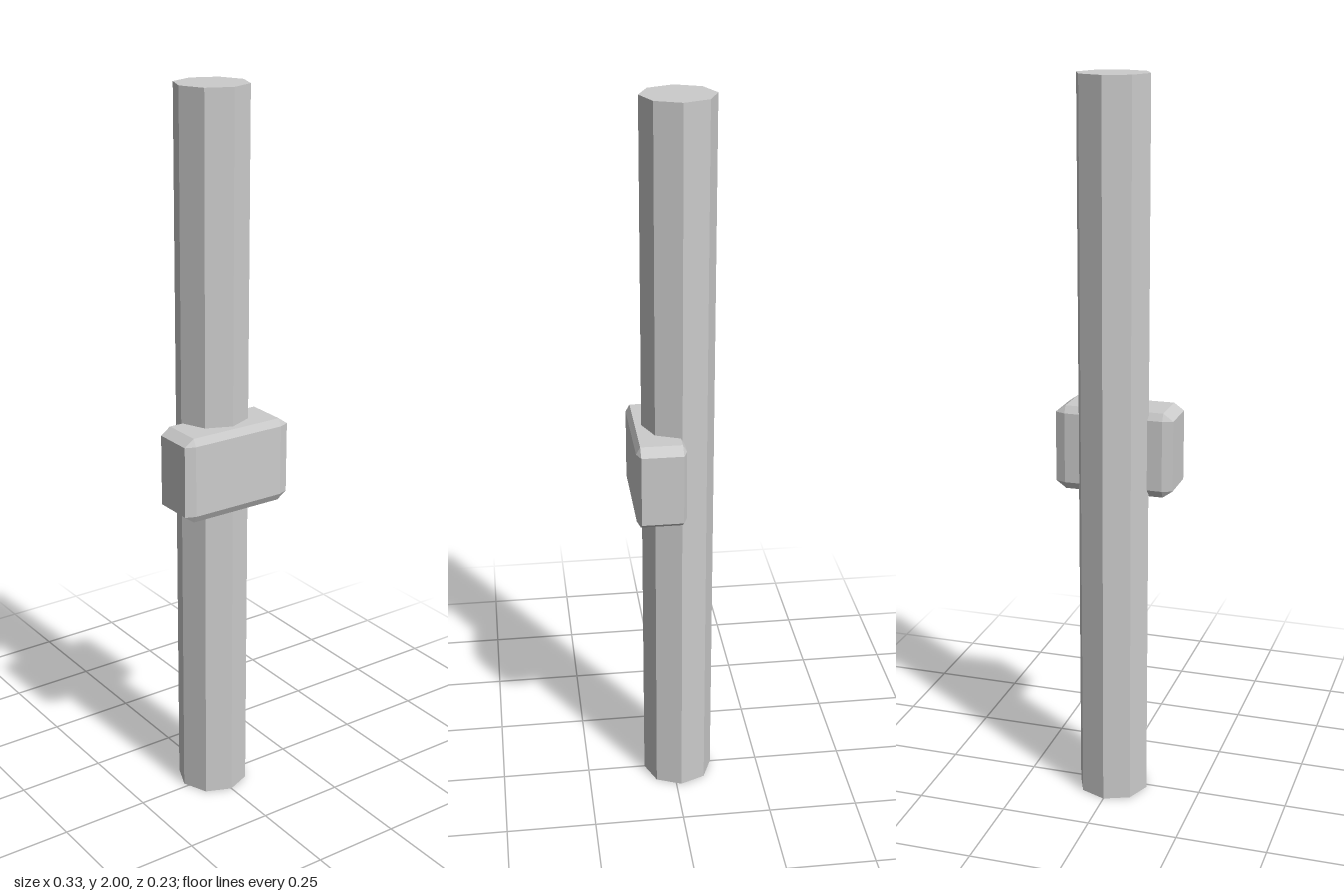
import * as THREE from 'three';
import { ConvexGeometry } from 'three/addons/geometries/ConvexGeometry.js';

// Box with all edges chamfered; half sizes h and bevel depths b per axis
function chamferedBox(h, b) {
  const points = [];
  for (const sx of [-1, 1]) for (const sy of [-1, 1]) for (const sz of [-1, 1]) {
    const s = [sx, sy, sz];
    for (let face = 0; face < 3; face++) {
      const p = s.map((sign, i) => sign * (i === face ? h[i] : h[i] - b[i]));
      points.push(new THREE.Vector3(...p));
    }
  }
  return new ConvexGeometry(points);
}

export function createModel() {
  const group = new THREE.Group();
  const material = new THREE.MeshStandardMaterial({ color: 0xcccccc, flatShading: true });

  // Eight-sided upright pole, set slightly back
  const pole = new THREE.Mesh(new THREE.CylinderGeometry(0.0985, 0.0985, 2, 8), material);
  pole.name = 'pole';
  pole.position.set(0, 1, -0.0145);
  group.add(pole);

  // Chamfered block clasped around the front half of the pole
  const block = new THREE.Mesh(
    chamferedBox([0.165, 0.118, 0.067], [0.028, 0.02, 0.011]), material);
  block.name = 'clampBlock';
  block.position.set(0, 1.002, 0.0455);
  group.add(block);

  return group;
}
